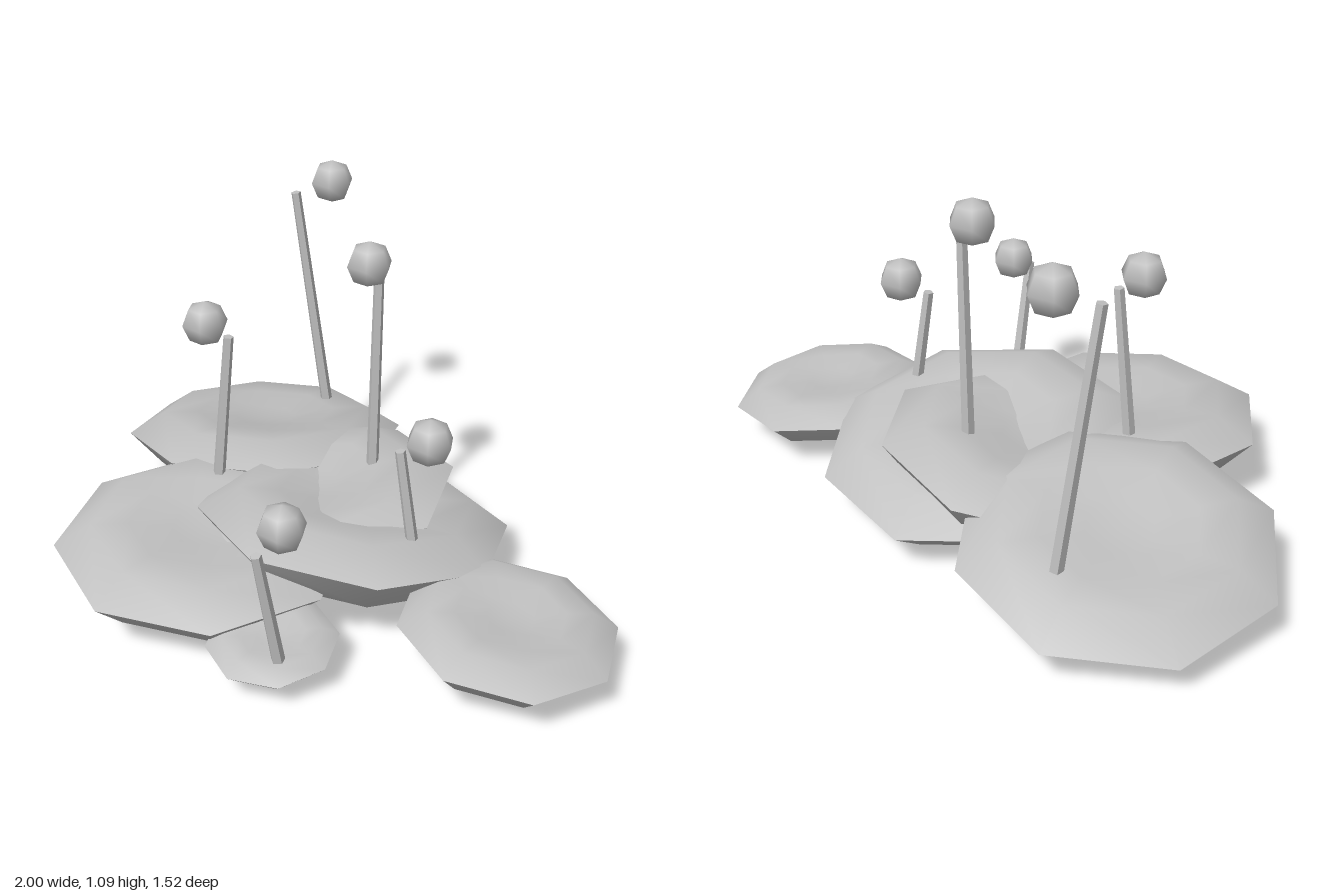
import * as THREE from 'three';
import { toCreasedNormals } from 'three/addons/utils/BufferGeometryUtils.js';

export function createModel() {
  const group = new THREE.Group();
  const grey = new THREE.MeshStandardMaterial({ color: 0xc0c0c0 });
  grey.name = 'paleGrey';

  const add = (geometry, name) => {
    const mesh = new THREE.Mesh(geometry, grey);
    mesh.name = name;
    group.add(mesh);
    return mesh;
  };

  // Eight-sided cushion pad with a shallow dimple on top, unit radius
  const profile = [
    [0, -0.34], [0.5, -0.32], [0.78, -0.23], [1, 0],
    [0.75, 0.155], [0.5, 0.15], [0.22, 0.105], [0, 0.09],
  ].map(([r, y]) => new THREE.Vector2(r, y));
  const padGeometry = toCreasedNormals(new THREE.LatheGeometry(profile, 8), 0.8);

  // Pads: name, centre, radius, slope along x, slope along z
  const pads = [
    ['backRightPad', [-0.54, 0.186, -0.31], 0.46, 0.12, 0.16],
    ['frontRightPad', [-0.24, 0.185, 0.31], 0.45, -0.05, -0.03],
    ['centrePad', [0.05, 0.2, -0.05], 0.483, 0, 0.19],
    ['innerPad', [-0.12, 0.208, -0.04], 0.457, 0.165, -0.09],
    ['leftPad', [0.685, 0.15, 0.065], 0.317, -0.1, 0.03],
    ['smallPad', [0.17, 0.1, 0.475], 0.19, -0.05, -0.1],
  ];
  for (const [name, centre, radius, slopeX, slopeZ] of pads) {
    const pad = add(padGeometry, name);
    pad.position.set(...centre);
    pad.scale.setScalar(radius);
    pad.rotation.set(-Math.atan(slopeZ), 0, Math.atan(slopeX));
  }

  // Leaning stalks, each with a separate bead near its tip
  const stalks = [
    { base: [-0.47, 0.12, -0.57], tip: [-0.555, 0.98, -0.5], bead: [-0.46, 1.02, -0.57] },
    { base: [-0.39, 0.1, 0.105], tip: [-0.335, 0.74, 0.075], bead: [-0.395, 0.78, 0.11] },
    { base: [0, 0.1, -0.195], tip: [0.015, 0.93, -0.2], bead: [-0.015, 0.97, -0.192] },
    { base: [0.257, 0.04, 0.535], tip: [0.245, 0.49, 0.615], bead: [0.257, 0.535, 0.525] },
    { base: [0.373, 0.05, 0.045], tip: [0.305, 0.58, 0.075], bead: [0.38, 0.62, 0.04] },
  ];
  const beadGeometry = new THREE.SphereGeometry(0.07, 6, 4);
  const up = new THREE.Vector3(0, 1, 0);
  for (const { base, tip, bead } of stalks) {
    const a = new THREE.Vector3(...base), b = new THREE.Vector3(...tip);
    const axis = b.clone().sub(a);
    const geometry = new THREE.CylinderGeometry(0.016, 0.021, axis.length(), 5);
    const stalk = add(toCreasedNormals(geometry, 0.8), 'stalk');
    stalk.position.copy(a).add(b).multiplyScalar(0.5);
    stalk.quaternion.setFromUnitVectors(up, axis.normalize());
    add(beadGeometry, 'bead').position.set(...bead);
  }
  return group;
}
